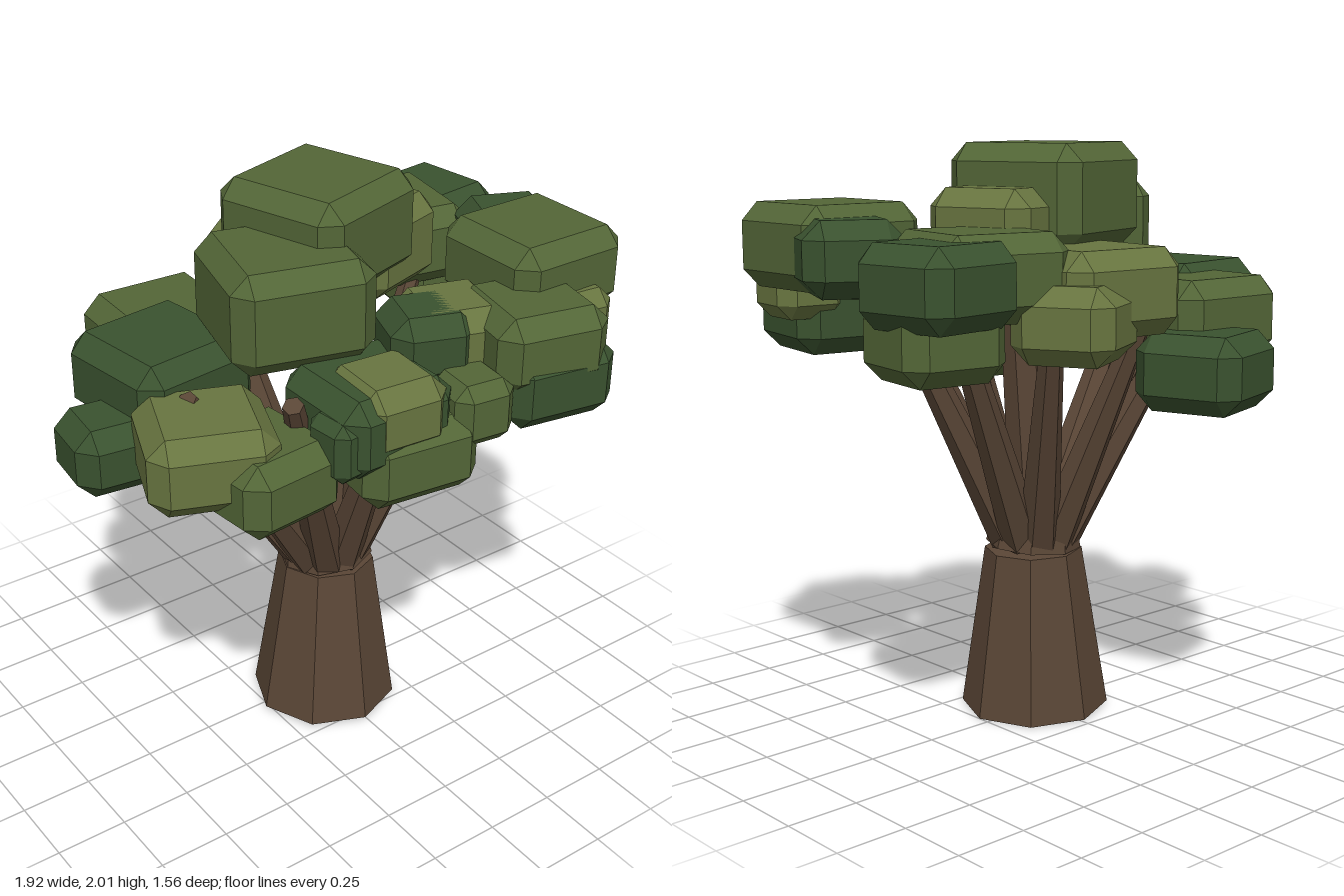
import * as THREE from 'three';
import { ConvexGeometry } from 'three/addons/geometries/ConvexGeometry.js';

const mat = (color) => new THREE.MeshStandardMaterial({ color, flatShading: true });
const bark = mat(0x5a4636);

// Box with chamfered edges and triangular corners
function chamferBox(w, h, d, b) {
  const pts = [];
  const [x, y, z] = [w / 2, h / 2, d / 2];
  for (const i of [-1, 1]) for (const j of [-1, 1]) for (const k of [-1, 1]) {
    pts.push(
      new THREE.Vector3(i * x, j * (y - b), k * (z - b)),
      new THREE.Vector3(i * (x - b), j * y, k * (z - b)),
      new THREE.Vector3(i * (x - b), j * (y - b), k * z));
  }
  return new ConvexGeometry(pts);
}

// Tapered limb between two points
function limb(name, from, to, r0, r1, sides) {
  const a = new THREE.Vector3(...from), b = new THREE.Vector3(...to);
  const dir = b.clone().sub(a);
  const mesh = new THREE.Mesh(new THREE.CylinderGeometry(r1, r0, dir.length(), sides), bark);
  mesh.position.copy(a).add(b).multiplyScalar(0.5);
  mesh.quaternion.setFromUnitVectors(new THREE.Vector3(0, 1, 0), dir.normalize());
  mesh.name = name;
  return mesh;
}

// Foliage blocks by tone: centre x, centre z, top height, footprint size, yaw
const foliageTones = [
  {
    name: 'darkLeaves', material: mat(0x3a522f), blocks: [
      [-0.22, -0.57, 1.39, 0.38, 0.3],
      [-0.56, -0.10, 1.58, 0.46, 0.13],
      [-0.82, -0.01, 1.41, 0.29, -0.12],
      [-0.30, 0.54, 1.49, 0.18, 0.1],
      [-0.14, 0.45, 1.55, 0.42, 0],
      [0.14, 0.38, 1.67, 0.29, -0.35],
      [0.48, 0.55, 1.55, 0.40, -0.17],
      [0.74, 0.09, 1.77, 0.33, -0.42],
      [0.73, -0.35, 1.72, 0.39, 0.13],
    ],
  },
  {
    name: 'greenLeaves', material: mat(0x536637), blocks: [
      [0.03, -0.06, 2.00, 0.50, 0.3],
      [-0.22, 0.11, 1.87, 0.48, -0.26],
      [-0.39, -0.35, 1.55, 0.45, -0.05],
      [-0.51, 0.41, 1.42, 0.38, 0.1],
      [-0.05, 0.48, 1.42, 0.42, -0.12],
      [0.16, 0.60, 1.51, 0.22, -0.12],
      [0.45, 0.54, 1.68, 0.40, -0.22],
      [0.65, 0.31, 1.81, 0.46, 0],
      [0.51, -0.28, 1.74, 0.45, -0.18],
      [0.69, -0.28, 1.54, 0.36, -0.15],
    ],
  },
  {
    name: 'oliveLeaves', material: mat(0x687540), blocks: [
      [0.26, -0.10, 1.86, 0.38, 0.3],
      [0.15, -0.40, 1.68, 0.46, -0.08],
      [0.31, -0.50, 1.58, 0.34, 0.48],
      [-0.65, 0.30, 1.50, 0.41, -0.38],
      [-0.12, 0.51, 1.57, 0.32, -0.08],
      [0.24, 0.38, 1.67, 0.33, -0.3],
      [0.66, 0.48, 1.64, 0.25, -0.12],
    ],
  },
];

export function createModel() {
  const tree = new THREE.Group();
  tree.name = 'tree';

  // Trunk with a slightly offset collar above it
  tree.add(limb('trunk', [-0.01, 0, 0.04], [0.005, 0.58, 0.03], 0.262, 0.172, 8));
  tree.add(limb('trunkCollar', [0.005, 0.592, 0.03], [0, 0.69, 0.025], 0.168, 0.148, 8));

  // Branches fan out from the collar in an ellipse, around one upright limb
  const branches = new THREE.Group();
  branches.name = 'branches';
  const branchCount = 10;
  for (let i = 0; i < branchCount; i++) {
    const a = (i + 0.4) / branchCount * Math.PI * 2;
    const c = Math.cos(a), s = Math.sin(a);
    const tip = [-0.08 + 0.62 * c, 1.5, 0.04 + 0.46 * s];
    branches.add(limb('branch', [0.09 * c, 0.62, 0.03 + 0.09 * s], tip, 0.075, 0.034, 6));
  }
  branches.add(limb('centreBranch', [0, 0.62, 0.03], [0.08, 1.65, 0.04], 0.085, 0.06, 6));
  tree.add(branches);

  // Foliage: wider blocks are thicker, and those at the crown thicker still
  for (const { name, material, blocks } of foliageTones) {
    const group = new THREE.Group();
    group.name = name;
    for (const [x, z, top, size, yaw] of blocks) {
      const h = (0.16 + 0.26 * size) * (top > 1.85 ? 1.2 : 1);
      const mesh = new THREE.Mesh(chamferBox(size, h, size, Math.min(0.06, size * 0.2)), material);
      mesh.position.set(x, top - h / 2, z);
      mesh.rotation.y = yaw;
      mesh.name = 'leafBlock';
      group.add(mesh);
    }
    tree.add(group);
  }
  return tree;
}
